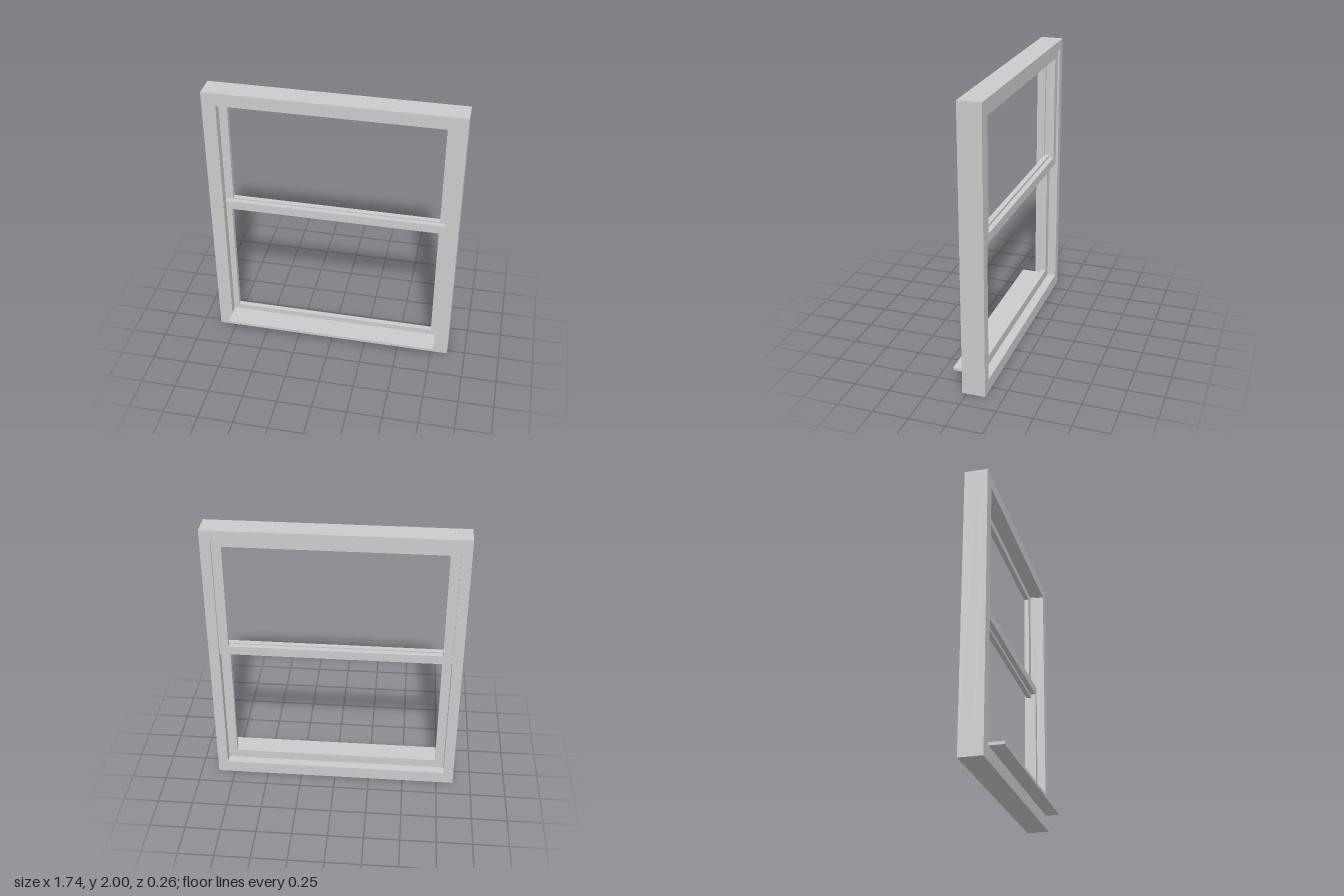
import * as THREE from 'three';

const material = new THREE.MeshStandardMaterial({ color: 0xcccccc, flatShading: true });

function rectangle(PathType, [x, bottom, top]) {
  const p = new PathType();
  p.moveTo(-x, bottom);
  p.lineTo(x, bottom);
  p.lineTo(x, top);
  p.lineTo(-x, top);
  p.closePath();
  return p;
}

// Rectangular ring: outer and inner are [half width, bottom, top]
function ring(name, outer, inner, zBack, zFront) {
  const shape = rectangle(THREE.Shape, outer);
  shape.holes.push(rectangle(THREE.Path, inner));
  const geometry = new THREE.ExtrudeGeometry(shape, { depth: zFront - zBack, bevelEnabled: false });
  geometry.translate(0, 0, zBack);
  const mesh = new THREE.Mesh(geometry, material);
  mesh.name = name;
  return mesh;
}

export function createModel() {
  const model = new THREE.Group();
  model.name = 'sashWindow';

  // Outer frame: a narrower opening in front stops the sashes
  const frame = new THREE.Group();
  frame.name = 'frame';
  const outer = [0.872, 0, 2];
  const pocket = [0.80, 0.09, 1.93];
  frame.add(
    ring('frontCasing', outer, [0.776, 0.095, 1.908], -0.03, 0.03),
    ring('rearCasing', outer, pocket, -0.13, -0.03)
  );
  model.add(frame);

  // Two sliding sashes, the lower one in front of the upper
  model.add(
    ring('lowerSash', [0.80, 0.09, 1.112], [0.735, 0.155, 1.048], -0.067, -0.031),
    ring('upperSash', [0.80, 1.048, 1.93], [0.735, 1.112, 1.88], -0.115, -0.079)
  );

  // Sill board running from the lower sash out past the frame
  const sill = new THREE.Mesh(new THREE.BoxGeometry(1.544, 0.021, 0.16), material);
  sill.name = 'sill';
  sill.position.set(0, 0.1055, 0.05);
  model.add(sill);

  return model;
}
